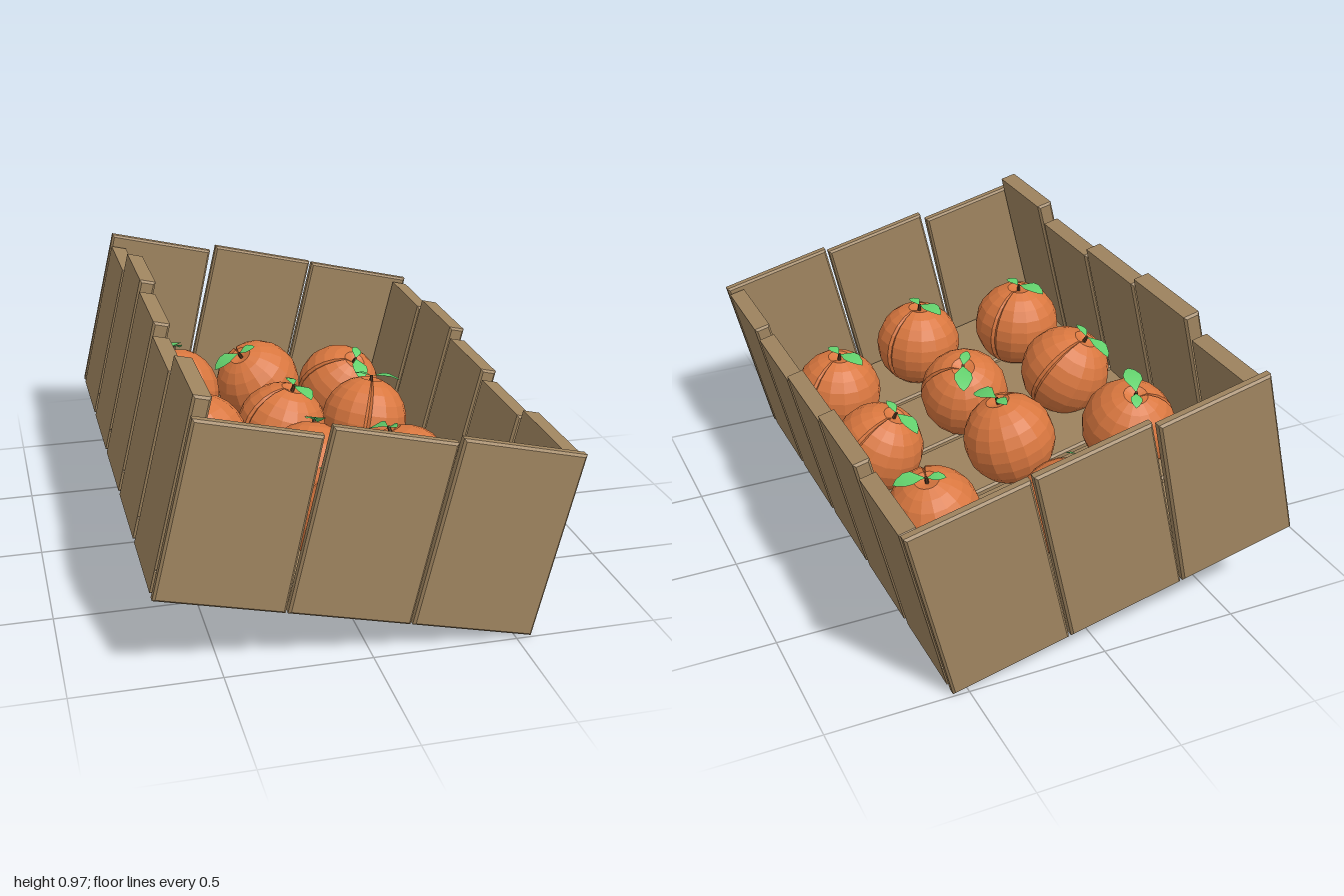
import * as THREE from 'three';

const TILT = -0.2347;
const BOARD = 0.08; // floor board thickness
const WIDTH = 1.31; // crate width
const FRUIT_R = 0.173;

const wood = new THREE.MeshStandardMaterial({ color: 0xa08560 });
const skin = new THREE.MeshStandardMaterial({ color: 0xd9773f, flatShading: true });
const stemMat = new THREE.MeshStandardMaterial({ color: 0x5a3a22, flatShading: true });
const leafMat = new THREE.MeshStandardMaterial({ color: 0x62d06c, side: THREE.DoubleSide });

// Board with chamfered edges: four corners in the tilted plane, spanning z0..z1
function plank(name, corners, z0, z1) {
  const b = 0.008;
  const shape = new THREE.Shape(corners.map(([x, y]) => new THREE.Vector2(x, y)));
  const geo = new THREE.ExtrudeGeometry(shape, {
    depth: z1 - z0 - 2 * b, bevelThickness: b, bevelSize: b, bevelOffset: -b, bevelSegments: 1,
  });
  geo.translate(0, 0, z0 + b);
  const mesh = new THREE.Mesh(geo, wood);
  mesh.name = name;
  return mesh;
}

const rect = (x0, y0, x1, y1) => [[x0, y0], [x1, y0], [x1, y1], [x0, y1]];

function makeCrate() {
  const crate = new THREE.Group();
  crate.name = 'crate';

  // Five rows of floor and side boards
  const rightTops = [0.673, 0.607, 0.648, 0.684, 0.607];
  const leftTops = [0.653, 0.622, 0.653, 0.69, 0.653];
  for (let i = 0; i < 5; i++) {
    const zc = 0.764 - i * 0.382;
    const z0 = zc - 0.182, z1 = zc + 0.182;
    crate.add(
      plank('floorBoard', rect(0, 0, WIDTH, BOARD), z0, z1),
      plank('rightSideBoard', rect(0, BOARD, 0.06, rightTops[i]), z0, z1),
      plank('leftSideBoard', rect(WIDTH - 0.06, BOARD, WIDTH, leftTops[i]), z0, z1),
    );
  }

  // Three slightly leaning boards at each end: bottom x0, x1, top x0, x1
  const spans = [[0, 0.438, 0, 0.42], [0.446, 0.87, 0.441, 0.862], [0.878, WIDTH, 0.874, WIDTH]];
  const ends = [
    { name: 'frontBoard', tops: [0.616, 0.65, 0.667], z: 0.958 },
    { name: 'backBoard', tops: [0.65, 0.674, 0.671], z: -0.998 },
  ];
  for (const { name, tops, z } of ends) {
    spans.forEach(([a, b, c, d], i) => {
      crate.add(plank(name, [[a, 0], [b, 0], [d, tops[i]], [c, tops[i]]], z, z + 0.04));
    });
  }
  crate.position.set(-0.72, 0.31, 0);
  crate.rotation.z = TILT;
  return crate;
}

// Faceted sphere with a dimple at the stem and a narrow crease along +x
function fruitGeometry() {
  const geo = new THREE.SphereGeometry(1, 18, 12);
  const p = geo.attributes.position;
  for (let i = 0; i < p.count; i++) {
    const y = p.getY(i);
    const ring = Math.hypot(p.getX(i), p.getZ(i));
    const a = Math.atan2(p.getZ(i), p.getX(i));
    const k = Math.round(Math.abs(a) / (Math.PI / 9));
    const deg = k === 0 ? 0 : 4 + (k - 1) * 22;
    const angle = Math.sign(a) * THREE.MathUtils.degToRad(deg);
    let r = k === 0 && ring > 0.01 ? 0.95 : 1;
    if (y > 0.99) r = 0.88;
    p.setXYZ(i, r * ring * Math.cos(angle), r * y, r * ring * Math.sin(angle));
  }
  geo.scale(FRUIT_R, FRUIT_R, FRUIT_R);
  geo.computeVertexNormals();
  return geo;
}

// Pointed leaf lying flat, growing along -z, drooping toward the tip
function leafGeometry() {
  const half = [[0.012, 0.02], [0.034, 0.05], [0.034, 0.075], [0.018, 0.105]];
  const outline = [[0, 0], ...half, [0, 0.12], ...half.map(([x, y]) => [-x, y]).reverse()];
  const geo = new THREE.ShapeGeometry(new THREE.Shape(outline.map(([x, y]) => new THREE.Vector2(x, y))));
  geo.rotateX(-Math.PI / 2);
  const p = geo.attributes.position;
  for (let i = 0; i < p.count; i++) {
    const t = -p.getZ(i) / 0.12;
    p.setY(i, 0.05 * t * (1 - t) + 0.1 * Math.abs(p.getX(i)));
  }
  geo.computeVertexNormals();
  return geo;
}

function makeFruits() {
  const fruits = new THREE.Group();
  fruits.name = 'fruits';
  const body = fruitGeometry();
  const leaf = leafGeometry();
  const stem = new THREE.CylinderGeometry(0.006, 0.008, 0.035, 6);

  // Centre x, z; stem offset x, z; direction of the large leaf x, z
  const layout = [
    [-0.03, -0.635, -0.085, 0.045, -0.065, 0.01],
    [0.35, -0.745, 0.05, 0.085, 0.01, 0.075],
    [-0.42, -0.365, 0.01, -0.06, -0.01, 0.045],
    [0.355, -0.355, 0.035, -0.025, 0.065, 0.015],
    [-0.045, -0.135, 0.045, 0.015, 0.025, 0.06],
    [-0.405, 0.12, -0.06, -0.055, -0.025, -0.045],
    [-0.035, 0.265, 0.035, -0.07, 0.025, -0.06],
    [0.37, 0.16, -0.055, -0.05, -0.03, -0.055],
    [-0.41, 0.575, 0, -0.015, -0.03, -0.05],
    [-0.03, 0.74, -0.005, -0.01, -0.025, -0.055],
    [0.365, 0.64, -0.005, -0.02, -0.03, -0.05],
  ];
  for (const [x, z, sx, sz, lx, lz] of layout) {
    const fruit = new THREE.Group();
    fruit.name = 'fruit';
    const bodyMesh = new THREE.Mesh(body, skin);
    bodyMesh.name = 'fruitBody';
    const stemMesh = new THREE.Mesh(stem, stemMat);
    stemMesh.name = 'stem';
    stemMesh.position.y = FRUIT_R * 0.95;
    const bigLeaf = new THREE.Mesh(leaf, leafMat);
    bigLeaf.name = 'largeLeaf';
    bigLeaf.position.y = FRUIT_R * 1.03;
    const smallLeaf = new THREE.Mesh(leaf, leafMat);
    smallLeaf.name = 'smallLeaf';
    smallLeaf.position.y = FRUIT_R * 1.02;
    smallLeaf.rotation.y = Math.PI - 0.25;
    smallLeaf.scale.setScalar(0.6);
    fruit.add(bodyMesh, stemMesh, bigLeaf, smallLeaf);

    // Stem points along y, large leaf along -z, crease along x
    const up = new THREE.Vector3(sx, Math.sqrt(FRUIT_R ** 2 - sx * sx - sz * sz), sz).normalize();
    const side = new THREE.Vector3(lx, 0, lz).cross(up).normalize();
    const back = side.clone().cross(up);
    fruit.quaternion.setFromRotationMatrix(new THREE.Matrix4().makeBasis(side, up, back));
    // Follow the sloping floor
    fruit.position.set(x, 0.355 + Math.tan(TILT) * x, z);
    fruits.add(fruit);
  }
  return fruits;
}

export function createModel() {
  const model = new THREE.Group();
  model.name = 'fruitCrate';
  model.add(makeCrate(), makeFruits());
  return model;
}
